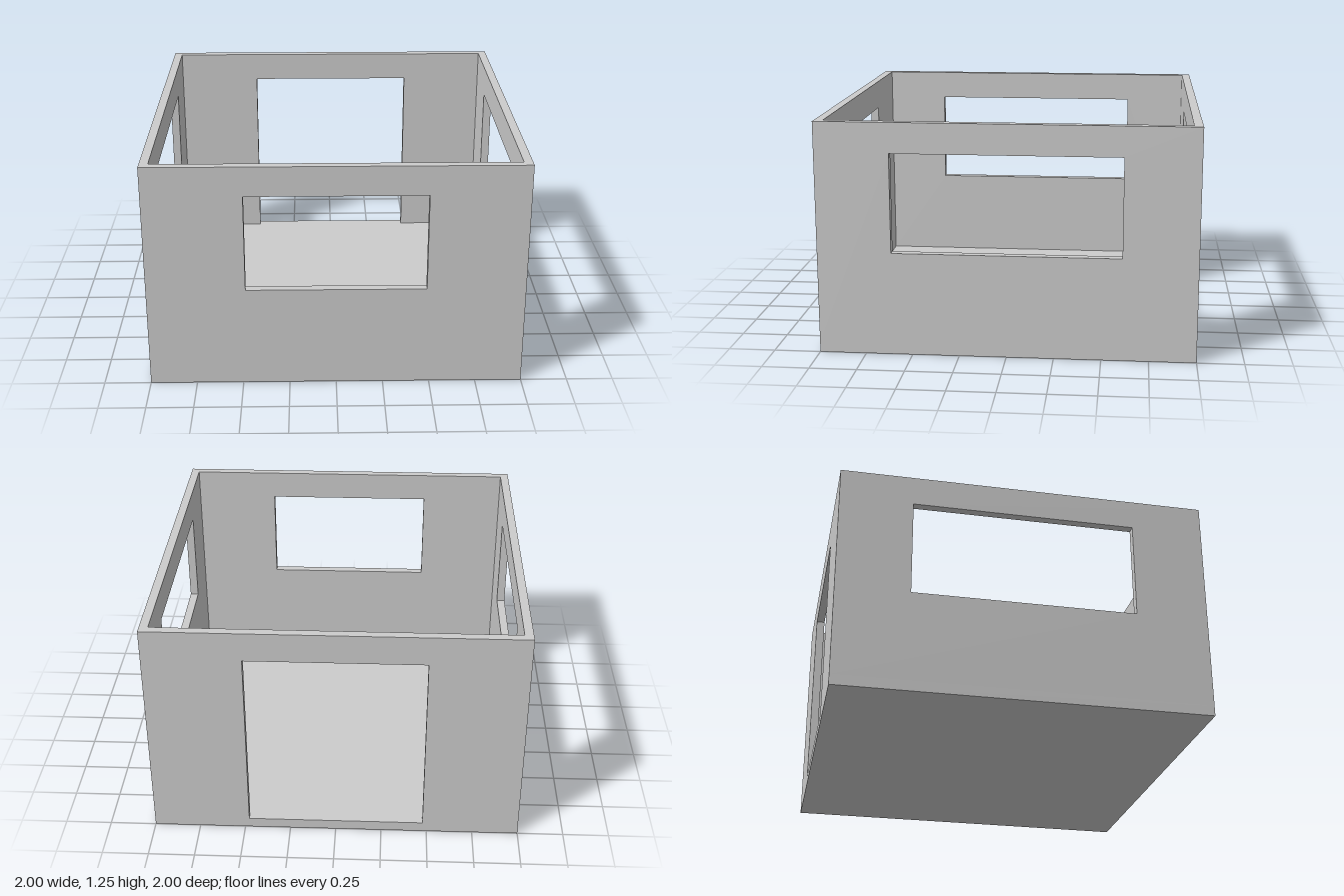
import * as THREE from 'three';

const HEIGHT = 1.25, THICK = 0.047, FLOOR = 0.056;
const SILL = 0.555, LINTEL = 1.087;

const material = new THREE.MeshStandardMaterial({ color: 0xcccccc, flatShading: true });

// Wall standing on the floor slab, with mitred ends and one centred opening
function makeWall(name, halfWidth, bottom, angle) {
  const opening = [[-halfWidth, bottom], [-halfWidth, LINTEL], [halfWidth, LINTEL], [halfWidth, bottom]];
  const isDoor = bottom <= FLOOR;
  const outline = [[-1, FLOOR], ...(isDoor ? opening : []), [1, FLOOR], [1, HEIGHT], [-1, HEIGHT]];
  const toPoints = (list) => list.map(([x, y]) => new THREE.Vector2(x, y));

  const shape = new THREE.Shape(toPoints(outline));
  if (!isDoor) shape.holes.push(new THREE.Path(toPoints(opening)));

  const geometry = new THREE.ExtrudeGeometry(shape, { depth: THICK, bevelEnabled: false });
  geometry.translate(0, 0, 1 - THICK);

  // Pull the inner ends in so neighbouring walls meet at a mitre
  const pos = geometry.attributes.position;
  for (let i = 0; i < pos.count; i++) {
    const x = pos.getX(i);
    if (Math.abs(x) > 0.999 && pos.getZ(i) < 1 - THICK / 2) pos.setX(i, Math.sign(x) * (1 - THICK));
  }
  geometry.computeVertexNormals();

  const wall = new THREE.Mesh(geometry, material);
  wall.name = name;
  wall.rotation.y = angle;
  return wall;
}

export function createModel() {
  const room = new THREE.Group();
  room.name = 'openRoom';

  // Floor slab
  const floor = new THREE.Mesh(new THREE.BoxGeometry(2, FLOOR, 2), material);
  floor.name = 'floor';
  floor.position.y = FLOOR / 2;
  room.add(floor);

  // Three windowed walls and the back wall with its doorway
  room.add(
    makeWall('frontWindowWall', 0.477, SILL, 0),
    makeWall('leftWindowWall', 0.605, SILL, Math.PI / 2),
    makeWall('backDoorWall', 0.477, FLOOR, Math.PI),
    makeWall('rightWindowWall', 0.605, SILL, -Math.PI / 2),
  );
  return room;
}
